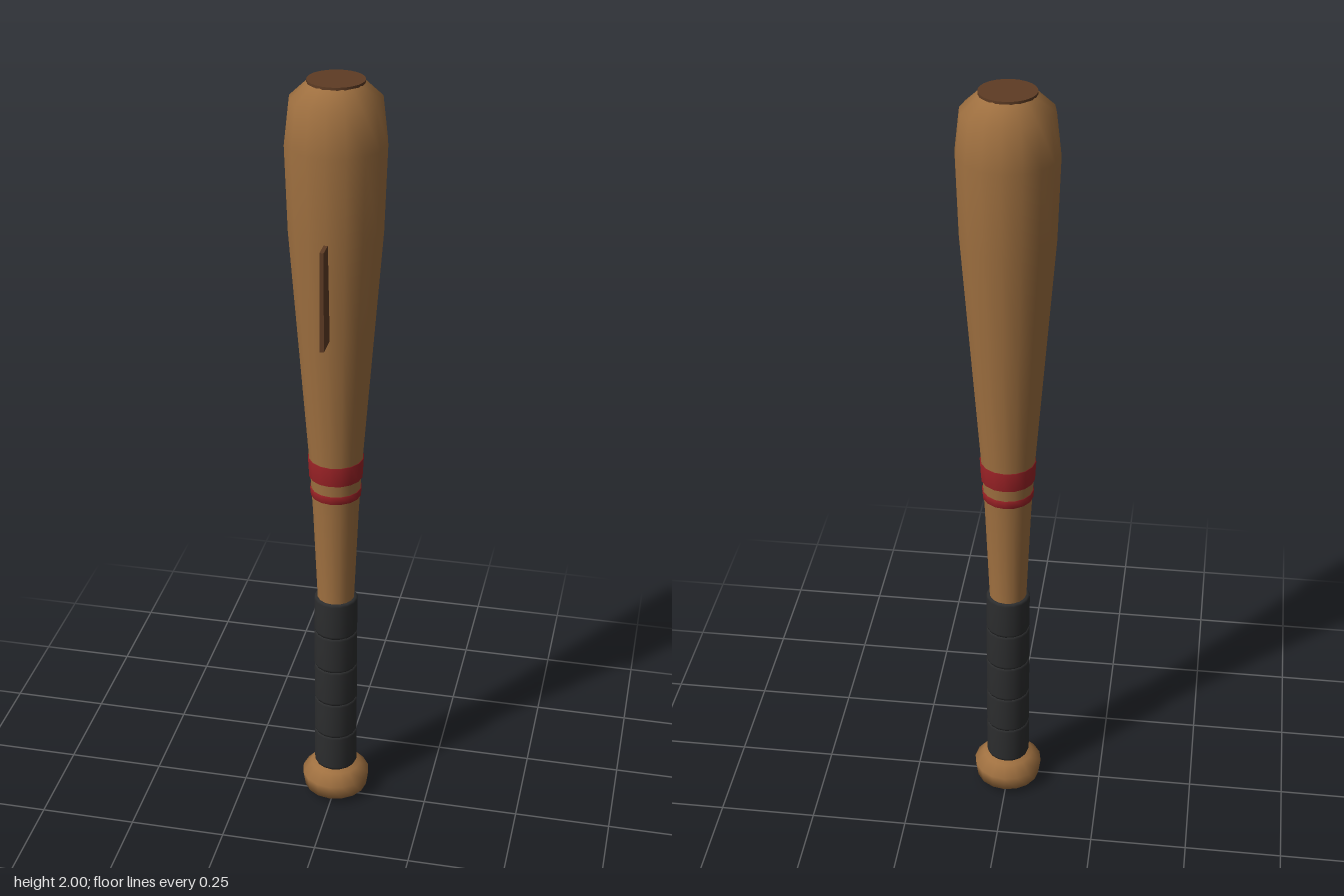
import * as THREE from 'three';

const mat = (name, color) => {
  const m = new THREE.MeshStandardMaterial({ color });
  m.name = name;
  return m;
};

export function createModel() {
  const wood = mat('wood', 0x9f7040);
  const darkWood = mat('darkWood', 0x5e3c24);
  const grip = mat('gripTape', 0x2c2d2e);
  const red = mat('redPaint', 0x9b2226);

  const model = new THREE.Group();
  model.name = 'bat';
  // The bat's axis sits slightly behind the origin to balance the front plate
  const body = new THREE.Group();
  body.name = 'batBody';
  body.position.z = -0.02;
  model.add(body);

  const add = (name, geometry, material) => {
    const mesh = new THREE.Mesh(geometry, material);
    mesh.name = name;
    body.add(mesh);
    return mesh;
  };
  // Turned part from [radius, height] pairs, bottom to top
  const turn = (name, points, material, sides = 16) =>
    add(name, new THREE.LatheGeometry(points.map(([r, y]) => new THREE.Vector2(r, y)), sides), material);

  // Barrel and handle
  turn('barrel', [
    [0.046, 0.08], [0.048, 0.62], [0.059, 0.88], [0.068, 1.03], [0.095, 1.38],
    [0.115, 1.64], [0.122, 1.85], [0.11, 1.955], [0.064, 1.998],
  ], wood);

  // Rounded knob
  turn('knob', [
    [0, 0], [0.045, 0.003], [0.084, 0.019], [0.09, 0.06], [0.066, 0.088], [0.04, 0.098],
  ], wood);

  // End cap
  const cap = add('endCap', new THREE.CylinderGeometry(0.068, 0.068, 0.008, 24), darkWood);
  cap.position.y = 1.996;

  // Overlapping wraps of grip tape
  const wraps = 5, bottom = 0.095, step = 0.105;
  for (let i = 0; i < wraps; i++) {
    const y = bottom + i * step;
    turn('gripWrap' + (i + 1), [
      [0.047, y], [0.054, y], [0.057, y + 0.008], [0.057, y + step - 0.006], [0.054, y + step], [0.047, y + step],
    ], grip);
  }

  // Painted bands
  const band = (name, y0, y1, r0, r1) =>
    turn(name, [[r0 - 0.005, y0], [r0, y0], [r1, y1], [r1 - 0.005, y1]], red);
  band('wideBand', 0.978, 1.03, 0.068, 0.071);
  band('narrowBand', 0.925, 0.946, 0.064, 0.066);

  // Upright plate set into the front of the barrel
  const plate = add('frontPlate', new THREE.BoxGeometry(0.01, 0.25, 0.08), darkWood);
  plate.position.set(0, 1.515, 0.12);

  return model;
}
